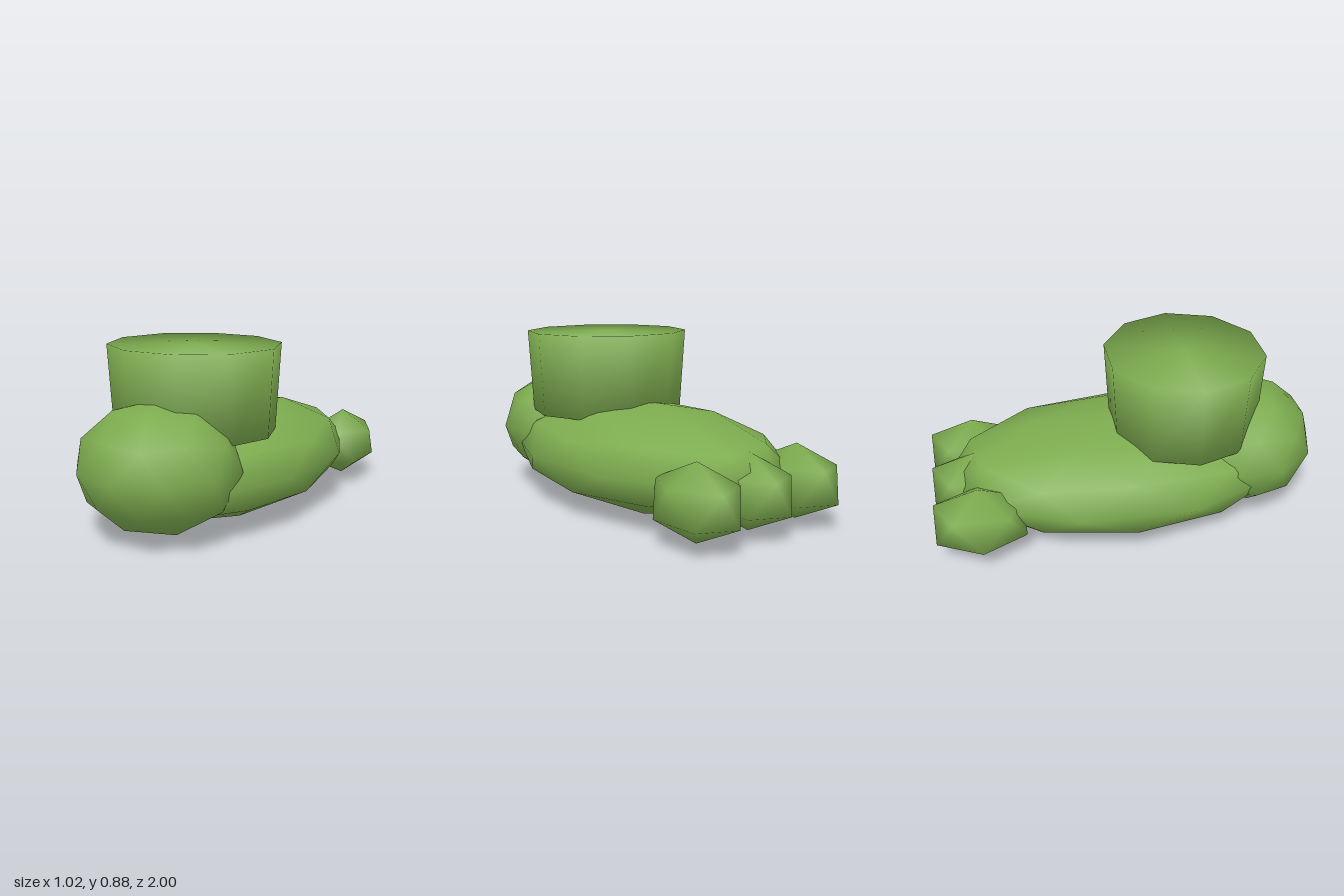
import * as THREE from 'three';
import { mergeVertices } from 'three/addons/utils/BufferGeometryUtils.js';

const skin = new THREE.MeshStandardMaterial({ color: 0x7dac4f });
skin.name = 'green skin';

// Welds the corners so the low-poly form shades smoothly
function smooth(geometry) {
  geometry.deleteAttribute('uv');
  geometry.deleteAttribute('normal');
  const welded = mergeVertices(geometry, 1e-4);
  welded.computeVertexNormals();
  return welded;
}

// Low-poly ball with a vertex at the top and bottom, stretched to the given radii
function ball(detail, rx, ry, rz) {
  const g = new THREE.IcosahedronGeometry(1, detail);
  g.rotateZ(-Math.atan(2 / (1 + Math.sqrt(5))));
  g.scale(rx, ry, rz);
  return smooth(g);
}

export function createModel() {
  const foot = new THREE.Group();
  foot.name = 'foot';

  const add = (name, geometry, x, y, z) => {
    const mesh = new THREE.Mesh(geometry, skin);
    mesh.name = name;
    mesh.position.set(x, y, z);
    foot.add(mesh);
  };

  // Long flattened sole and the rounder heel
  add('sole', ball(1, 0.536, 0.268, 0.91), 0, 0.27, -0.02);
  add('heel', ball(1, 0.405, 0.315, 0.375), 0, 0.345, 0.62);

  // Ten-sided ankle stump, slightly wider at the top
  const ankle = new THREE.CylinderGeometry(0.43, 0.403, 0.425, 10, 1, false, Math.PI / 2);
  ankle.scale(1, 1, 0.942);
  add('ankle', smooth(ankle), 0, 0.6725, 0.3);

  // Three toes
  const toe = ball(0, 0.185, 0.185, 0.26);
  [['rightToe', -0.32], ['middleToe', 0], ['leftToe', 0.32]].forEach(([name, x]) =>
    add(name, toe, x, 0.215, -0.78));

  return foot;
}
